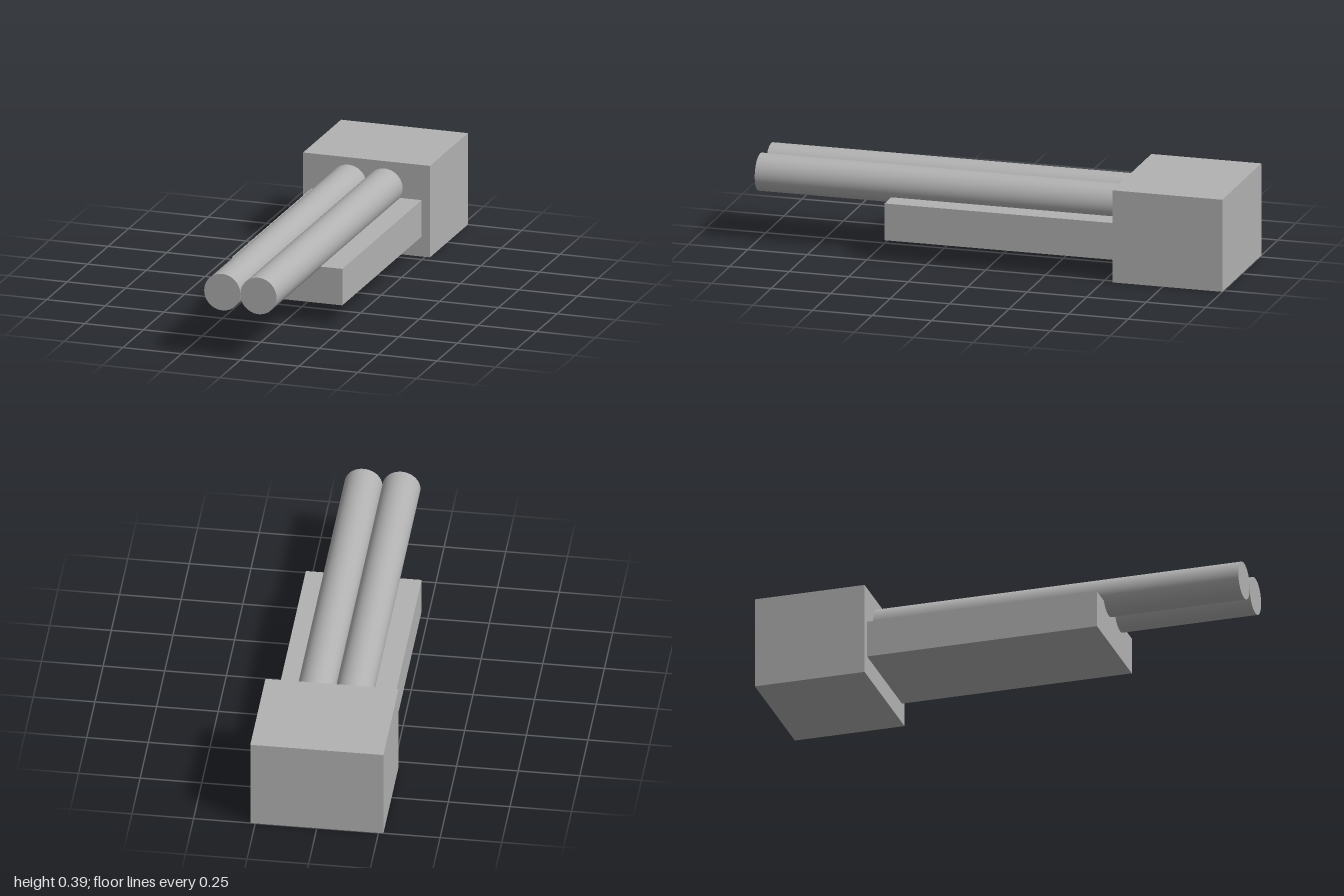
import * as THREE from 'three';

export function createModel() {
  const model = new THREE.Group();
  const grey = new THREE.MeshStandardMaterial({ color: 0xb2b2b2 });
  grey.name = 'grey';

  const add = (name, geometry, x, y, z) => {
    const mesh = new THREE.Mesh(geometry, grey);
    mesh.name = name;
    mesh.position.set(x, y, z);
    model.add(mesh);
  };

  // Rear block, standing on the ground
  add('rearBlock', new THREE.BoxGeometry(0.54, 0.386, 0.462), 0, 0.193, -0.769);

  // Flat support reaching forward from the block
  add('supportBar', new THREE.BoxGeometry(0.47, 0.154, 0.968), 0, 0.161, -0.054);

  // Twin tubes lying side by side on the support
  const radius = 0.077, length = 1.538;
  for (const side of [-1, 1]) {
    const tube = new THREE.CylinderGeometry(radius, radius, length, 48).rotateX(Math.PI / 2);
    add(side > 0 ? 'leftTube' : 'rightTube', tube, side * radius, 0.278, 1 - length / 2);
  }
  return model;
}
